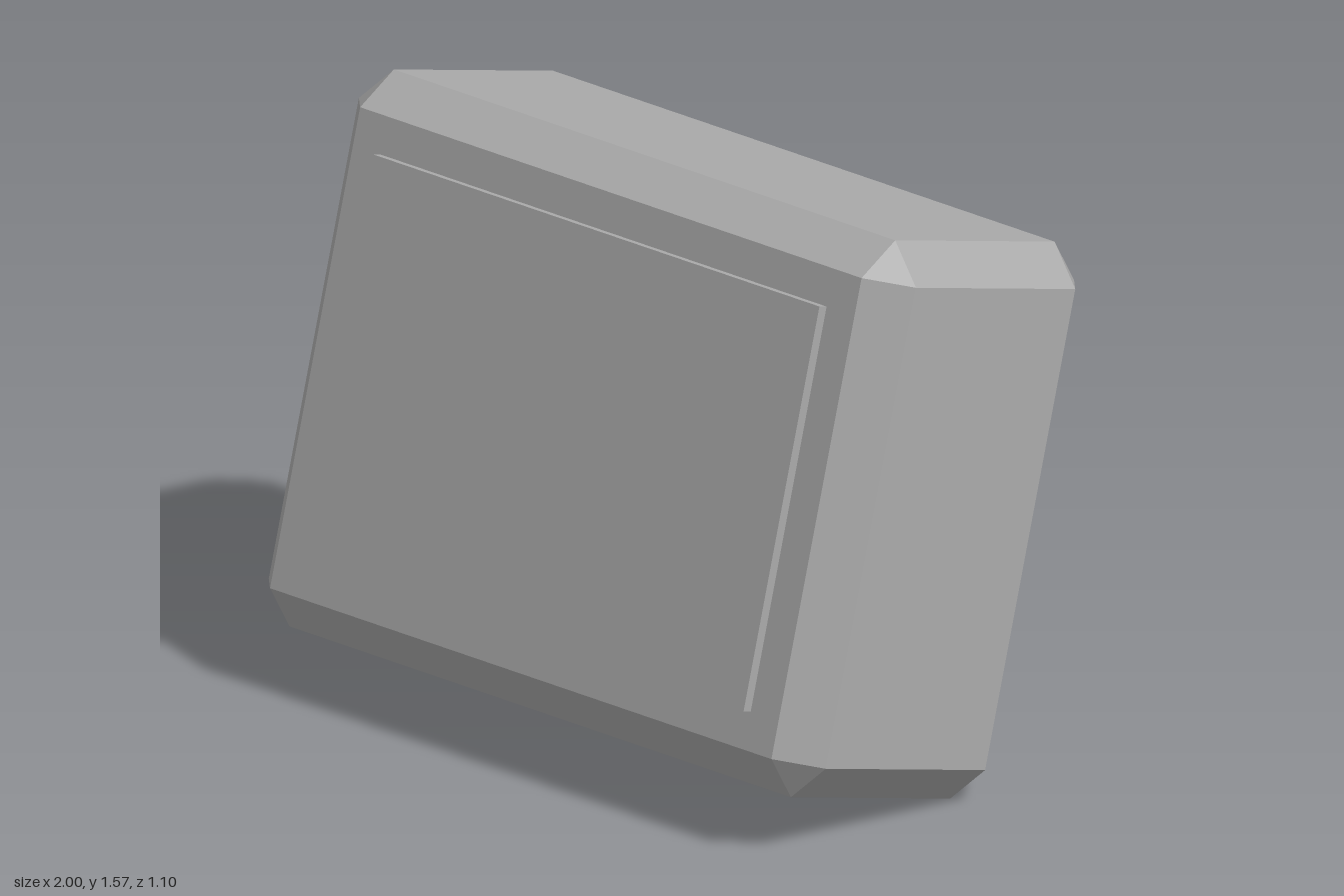
import * as THREE from 'three';
import { ConvexGeometry } from 'three/addons/geometries/ConvexGeometry.js';

// Box with 45-degree chamfered edges and triangular corners
function chamferedBox(width, height, depth, c) {
  const x = width / 2, y = height / 2, z = depth / 2;
  const points = [];
  for (const sx of [-1, 1]) for (const sy of [-1, 1]) for (const sz of [-1, 1]) {
    points.push(
      new THREE.Vector3(sx * x, sy * (y - c), sz * (z - c)),
      new THREE.Vector3(sx * (x - c), sy * y, sz * (z - c)),
      new THREE.Vector3(sx * (x - c), sy * (y - c), sz * z)
    );
  }
  return new ConvexGeometry(points);
}

export function createModel() {
  const grey = new THREE.MeshStandardMaterial({ color: 0xaaaaaa, flatShading: true });
  grey.name = 'grey';

  const model = new THREE.Group();
  model.name = 'tiltedMonitor';

  // Whole body leans back and rests on its lower rear edge
  const tilted = new THREE.Group();
  tilted.name = 'tiltedBody';
  tilted.position.y = 0.786;
  tilted.rotation.x = -Math.PI / 12;
  model.add(tilted);

  // Chamfered casing
  const casing = new THREE.Mesh(chamferedBox(2, 1.467, 0.8, 0.1), grey);
  casing.name = 'casing';
  tilted.add(casing);

  // Raised screen panel on the front face
  const screen = new THREE.Mesh(new THREE.BoxGeometry(1.6, 1.067, 0.047), grey);
  screen.name = 'screen';
  screen.position.z = 0.4035;
  tilted.add(screen);

  return model;
}
